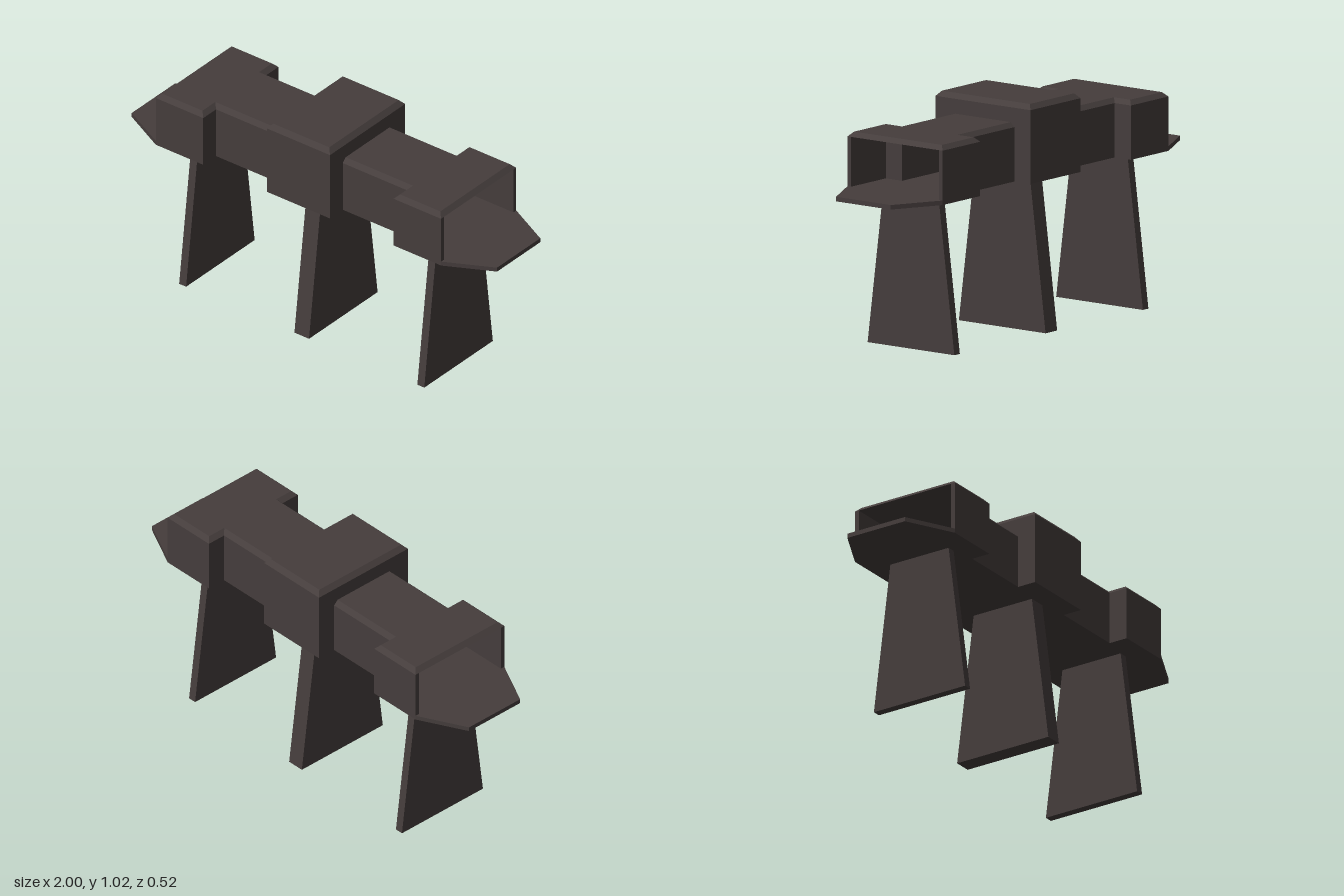
import * as THREE from 'three';

const DECK_BOTTOM = 0.677, DECK_TOP = 0.697, EAVES = 0.915, TOWER_EAVES = 1.0;
const WIDE = 0.261, NARROW = 0.172, WALL = 0.02;
const TOWER_X = 0.173, STEP_X = 0.521, END_X = 0.781;

export function createModel() {
  const group = new THREE.Group();
  const darkStone = new THREE.MeshStandardMaterial({ color: 0x453d3c, flatShading: true });
  darkStone.name = 'darkStone';

  const add = (name, geometry) => {
    const mesh = new THREE.Mesh(geometry, darkStone);
    mesh.name = name;
    group.add(mesh);
    return mesh;
  };

  // Plan outline of [x, z] points raised from y0 to y1
  const raise = (points, y0, y1) => {
    const shape = new THREE.Shape(points.map(([x, z]) => new THREE.Vector2(x, z)));
    const g = new THREE.ExtrudeGeometry(shape, { depth: y1 - y0, bevelEnabled: false });
    return g.rotateX(Math.PI / 2).translate(0, y1, 0);
  };

  // Box whose top half-sizes differ from its bottom half-sizes
  const taper = (bx, bz, tx, tz, y0, y1, cx = 0) => {
    const g = new THREE.BoxGeometry(2, y1 - y0, 2);
    const p = g.attributes.position;
    for (let i = 0; i < p.count; i++) {
      const top = p.getY(i) > 0;
      p.setX(i, p.getX(i) * (top ? tx : bx));
      p.setZ(i, p.getZ(i) * (top ? tz : bz));
    }
    g.translate(cx, (y0 + y1) / 2, 0);
    g.computeVertexNormals();
    return g;
  };

  // Deck: one quarter outline mirrored around all four quarters
  const quarter = [[TOWER_X, WIDE], [TOWER_X, NARROW], [STEP_X, NARROW],
    [STEP_X, WIDE], [END_X, WIDE], [1, 0.15]];
  const flip = (pts, sx, sz) => pts.map(([x, z]) => [x * sx, z * sz]);
  const back = [...quarter].reverse();
  add('deck', raise([...quarter, ...flip(back, 1, -1), ...flip(quarter, -1, -1),
    ...flip(back, -1, 1)], DECK_BOTTOM, DECK_TOP));

  // Thin walls around the hollow passage
  const sideWall = [[TOWER_X, NARROW], [STEP_X, NARROW], [STEP_X, WIDE], [END_X, WIDE],
    [END_X, WIDE - WALL], [STEP_X + WALL, WIDE - WALL],
    [STEP_X + WALL, NARROW - WALL], [TOWER_X, NARROW - WALL]];
  const inX = TOWER_X - WALL, inZ = NARROW - WALL;
  const towerWall = [[-TOWER_X, inZ], [-TOWER_X, WIDE], [TOWER_X, WIDE], [TOWER_X, inZ],
    [inX, inZ], [inX, WIDE - WALL], [-inX, WIDE - WALL], [-inX, inZ]];
  for (const sz of [1, -1]) {
    add('towerWall', raise(flip(towerWall, 1, sz), DECK_TOP, TOWER_EAVES));
    for (const sx of [1, -1]) add('sideWall', raise(flip(sideWall, sx, sz), DECK_TOP, EAVES));
  }

  // Bevelled roofs and the tower headers above the passage
  add('towerRoof', taper(TOWER_X, WIDE, inX, WIDE - WALL, TOWER_EAVES, 1.022));
  const endHalf = (END_X - STEP_X) / 2, endMid = (END_X + STEP_X) / 2;
  const linkHalf = (STEP_X + WALL - inX) / 2, linkMid = (STEP_X + WALL + inX) / 2;
  for (const s of [1, -1]) {
    add('endRoof', taper(endHalf, WIDE, endHalf - WALL, WIDE - WALL, EAVES, EAVES + WALL, s * endMid));
    add('linkRoof', taper(linkHalf, NARROW, linkHalf, inZ, EAVES, EAVES + WALL, s * linkMid));
    add('towerHeader', taper(WALL / 2, inZ, WALL / 2, inZ, EAVES, TOWER_EAVES, s * (TOWER_X - WALL / 2)));
  }

  // Tapered piers, the middle one thicker
  for (const [x, half] of [[-0.652, 0.019], [0, 0.04], [0.652, 0.019]]) {
    add('pier', taper(half, 0.238, half, 0.152, 0, DECK_BOTTOM, x));
  }
  return group;
}
